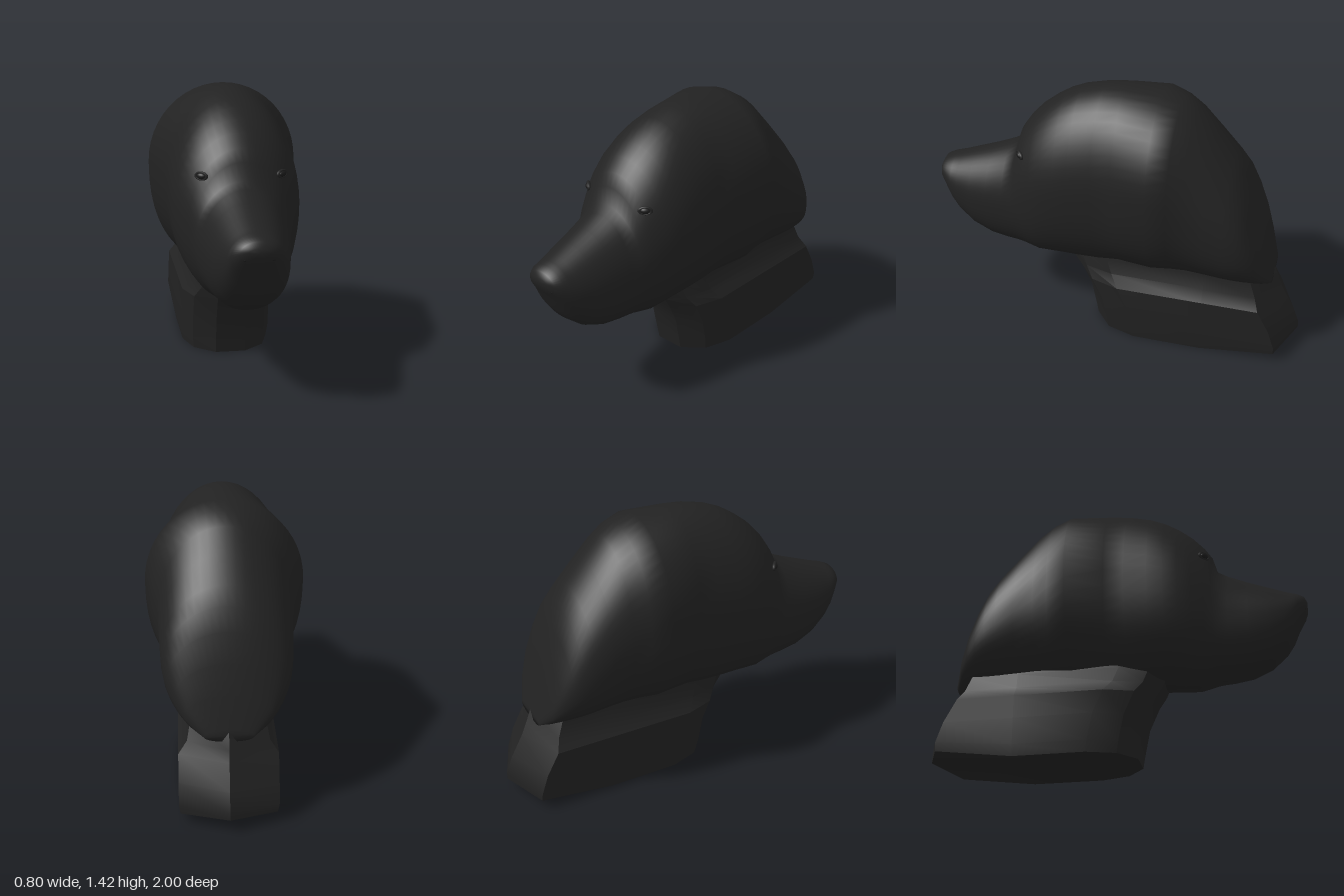
import * as THREE from 'three';
import { toCreasedNormals } from 'three/addons/utils/BufferGeometryUtils.js';

const coat = new THREE.MeshStandardMaterial({ color: 0x222222 });
coat.name = 'black coat';
const dark = new THREE.MeshStandardMaterial({ color: 0x1a1a1a });
dark.name = 'eye and nostril black';

// Skin closed rings of [x, y, z] points and close both ends
function loft(rings) {
  const n = rings[0].length;
  const pos = rings.flat(2);
  const index = [];
  for (let i = 0; i < rings.length - 1; i++) {
    for (let j = 0; j < n; j++) {
      const k = (j + 1) % n;
      const a = i * n + j, b = i * n + k, c = a + n, d = b + n;
      index.push(a, b, c, b, d, c);
    }
  }
  const cap = (ring, start, flip) => {
    const centre = pos.length / 3;
    pos.push(...[0, 1, 2].map((q) => ring.reduce((s, p) => s + p[q], 0) / n));
    for (let j = 0; j < n; j++) {
      const k = (j + 1) % n;
      index.push(centre, start + (flip ? k : j), start + (flip ? j : k));
    }
  };
  cap(rings[0], 0, true);
  cap(rings[rings.length - 1], (rings.length - 1) * n, false);
  const g = new THREE.BufferGeometry();
  g.setAttribute('position', new THREE.Float32BufferAttribute(pos, 3));
  g.setIndex(index);
  g.computeVertexNormals();
  return g;
}

// Head sections from nose to nape: z, top, widest height, bottom, half width
const sections = [
  [1.0, 0.82, 0.8, 0.775, 0.05],
  [0.985, 0.85, 0.79, 0.74, 0.09],
  [0.95, 0.867, 0.77, 0.68, 0.122],
  [0.92, 0.877, 0.74, 0.61, 0.14],
  [0.88, 0.89, 0.72, 0.55, 0.157],
  [0.8, 0.92, 0.7, 0.48, 0.182],
  [0.7, 0.957, 0.7, 0.435, 0.203],
  [0.6, 1.0, 0.71, 0.42, 0.22],
  [0.545, 1.03, 0.73, 0.417, 0.235],
  [0.52, 1.12, 0.76, 0.413, 0.245],
  [0.48, 1.18, 0.8, 0.402, 0.262],
  [0.42, 1.245, 0.84, 0.39, 0.292],
  [0.35, 1.3, 0.87, 0.397, 0.315],
  [0.28, 1.345, 0.88, 0.402, 0.325],
  [0.2, 1.38, 0.9, 0.4, 0.33],
  [0.08, 1.41, 0.92, 0.4, 0.33],
  [-0.03, 1.42, 0.95, 0.41, 0.335],
  [-0.22, 1.413, 0.99, 0.415, 0.4],
  [-0.32, 1.385, 0.94, 0.42, 0.365],
  [-0.4, 1.335, 0.88, 0.42, 0.337],
  [-0.5, 1.225, 0.81, 0.42, 0.33],
  [-0.6, 1.11, 0.74, 0.42, 0.322],
  [-0.66, 1.03, 0.7, 0.42, 0.31],
  [-0.71, 0.92, 0.66, 0.42, 0.29],
  [-0.76, 0.78, 0.6, 0.42, 0.255],
  [-0.8, 0.63, 0.53, 0.42, 0.21],
  [-0.845, 0.47, 0.44, 0.41, 0.12],
];

function headRing([z, top, mid, bottom, half]) {
  const ring = [];
  for (let j = 0; j < 48; j++) {
    const a = (j / 48) * Math.PI * 2;
    const s = Math.sin(a), c = Math.cos(a);
    const e = c < 0 ? 2 / 2.3 : 1; // fuller cheeks below the widest line
    const x = Math.sign(s) * Math.abs(s) ** e * half;
    const y = c > 0 ? mid + c * (top - mid) : mid - Math.abs(c) ** e * (mid - bottom);
    ring.push([x, y, z]);
  }
  return ring;
}

// Neck sections upwards: y, front z, back z, half width
const neckSections = [
  [0, 0.11, -1.0, 0.235],
  [0.06, 0.12, -1.0, 0.243],
  [0.2, 0.147, -0.965, 0.243],
  [0.32, 0.2, -0.9, 0.243],
  [0.38, 0.24, -0.875, 0.2],
  [0.46, 0.27, -0.845, 0.185],
  [0.6, 0.2, -0.76, 0.16],
];

function neckRing([y, front, back, w]) {
  const side = [[0.08, front], [w * 0.8, front - 0.09], [w, front - 0.24],
    [w, -0.5], [w, back + 0.1]];
  const outline = [...side, [0, back], ...side.map(([x, z]) => [-x, z]).reverse()];
  // The cut base lifts towards the nape
  return outline.map(([x, z]) => {
    const lift = 0.07 * Math.max(0, (-z - 0.5) / 0.5) ** 1.5 * Math.max(0, 1 - y / 0.2);
    return [x, y + lift, z];
  });
}

export function createModel() {
  const model = new THREE.Group();
  const add = (name, geometry, material, parent = model) => {
    const mesh = new THREE.Mesh(geometry, material);
    mesh.name = name;
    parent.add(mesh);
    return mesh;
  };

  add('head', loft(sections.map(headRing)), coat);
  add('neck', toCreasedNormals(loft(neckSections.map(neckRing)), 0.45), coat);

  // Rounded nose pad
  const nose = add('nose', new THREE.SphereGeometry(1, 24, 16), coat);
  nose.scale.set(0.1, 0.062, 0.07);
  nose.position.set(0, 0.805, 0.928);

  for (const side of [1, -1]) {
    // Eye with a lid rim, turned outwards
    const eye = new THREE.Group();
    eye.name = side > 0 ? 'leftEye' : 'rightEye';
    eye.position.set(side * 0.198, 1.05, 0.485);
    eye.rotation.y = side * 0.7;
    model.add(eye);
    add('eyeball', new THREE.SphereGeometry(1, 16, 12), dark, eye).scale.set(0.026, 0.016, 0.016);
    const lid = add('eyelid', new THREE.TorusGeometry(0.03, 0.008, 8, 24), coat, eye);
    lid.scale.y = 0.6;

    // Nostril
    const nostril = add('nostril', new THREE.SphereGeometry(1, 12, 8), dark);
    nostril.scale.set(0.018, 0.008, 0.008);
    nostril.position.set(side * 0.06, 0.765, 0.982);
  }
  return model;
}
